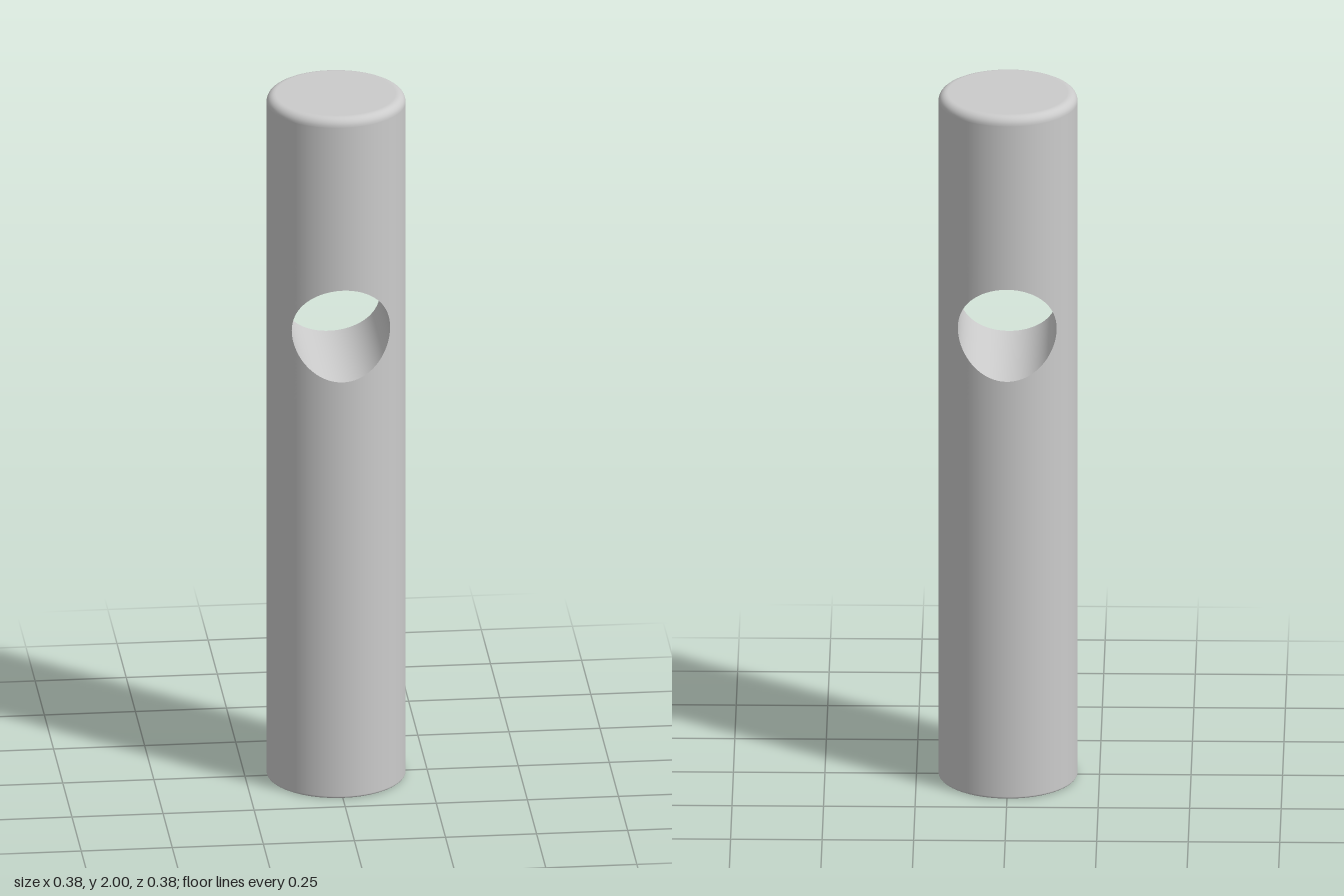
import * as THREE from 'three';

const R = 0.19, HEIGHT = 2;           // rod
const HOLE_R = 0.135, HOLE_Y = 1.36;  // cross hole along z
const BAND = 0.2;                     // half height of the pierced section
const SEG = 96;

const material = new THREE.MeshStandardMaterial({ color: 0xcccccc });

// Smooth surface from a rule giving [position, normal] at each grid point
function gridSurface(nu, nv, rule) {
  const pos = [], nor = [], idx = [];
  for (let i = 0; i <= nu; i++) {
    for (let j = 0; j <= nv; j++) {
      const [p, n] = rule(i, j / nv);
      pos.push(...p);
      nor.push(...n);
      if (i < nu && j < nv) {
        const a = i * (nv + 1) + j, b = a + 1, c = a + nv + 1, d = c + 1;
        idx.push(a, b, c, b, d, c);
      }
    }
  }
  const g = new THREE.BufferGeometry();
  g.setAttribute('position', new THREE.Float32BufferAttribute(pos, 3));
  g.setAttribute('normal', new THREE.Float32BufferAttribute(nor, 3));
  g.setIndex(idx);
  return g;
}

// Rounded corner points from angle a0 to a1 about (R - r, cy)
function fillet(r, cy, a0, a1) {
  return Array.from({ length: 9 }, (_, k) => {
    const a = a0 + (a1 - a0) * k / 8;
    return new THREE.Vector2(R - r + r * Math.cos(a), cy + r * Math.sin(a));
  });
}

// Outline of the unrolled half band, anticlockwise, as [angle, dy]
function bandOutline() {
  const W = Math.PI / 2, corners = [[W, -BAND], [W, BAND], [-W, BAND], [-W, -BAND], [W, -BAND]];
  const out = [];
  for (let e = 0; e < 4; e++) {
    const n = e % 2 ? SEG / 2 : 24;
    const [a, b] = [corners[e], corners[e + 1]];
    for (let k = 0; k < n; k++) out.push([a[0] + (b[0] - a[0]) * k / n, a[1] + (b[1] - a[1]) * k / n]);
  }
  out.push(corners[4]);
  return out;
}

export function createModel() {
  const group = new THREE.Group();
  group.name = 'piercedRod';
  const add = (name, geometry) => {
    const mesh = new THREE.Mesh(geometry, material);
    mesh.name = name;
    group.add(mesh);
    return mesh;
  };
  const v = (x, y) => new THREE.Vector2(x, y);

  // Plain lengths below and above the hole, with a tight bottom edge and a rounder top edge
  const rb = 0.006, rt = 0.024;
  add('lowerRod', new THREE.LatheGeometry([
    v(0, 0), v(R - rb - 0.002, 0),
    ...fillet(rb, rb, -Math.PI / 2, 0),
    v(R, rb + 0.002), v(R, HOLE_Y - BAND),
  ], SEG));
  add('upperRod', new THREE.LatheGeometry([
    v(R, HOLE_Y + BAND), v(R, HEIGHT - rt - 0.002),
    ...fillet(rt, HEIGHT - rt, 0, Math.PI / 2),
    v(R - rt - 0.002, HEIGHT), v(0, HEIGHT),
  ], SEG));

  // Each outline point is paired with a point on the hole rim
  const outline = bandOutline();
  const rim = outline.map(([th, dy]) => Math.atan2(dy, R * th));
  const n = outline.length - 1;

  // Curved wall around the hole, front and back halves
  const wall = gridSurface(n, 16, (i, s) => {
    const rimAngle = Math.asin(HOLE_R * Math.cos(rim[i]) / R);
    const th = THREE.MathUtils.lerp(rimAngle, outline[i][0], s);
    const dy = THREE.MathUtils.lerp(HOLE_R * Math.sin(rim[i]), outline[i][1], s);
    return [[R * Math.sin(th), HOLE_Y + dy, R * Math.cos(th)], [Math.sin(th), 0, Math.cos(th)]];
  });
  add('frontWall', wall);
  add('backWall', wall).rotation.y = Math.PI;

  // Inside of the hole, running from back to front
  add('crossHole', gridSurface(n, 8, (i, s) => {
    const c = Math.cos(rim[i]), sn = Math.sin(rim[i]), x = HOLE_R * c;
    return [[x, HOLE_Y + HOLE_R * sn, Math.sqrt(R * R - x * x) * (2 * s - 1)], [-c, -sn, 0]];
  }));

  return group;
}
